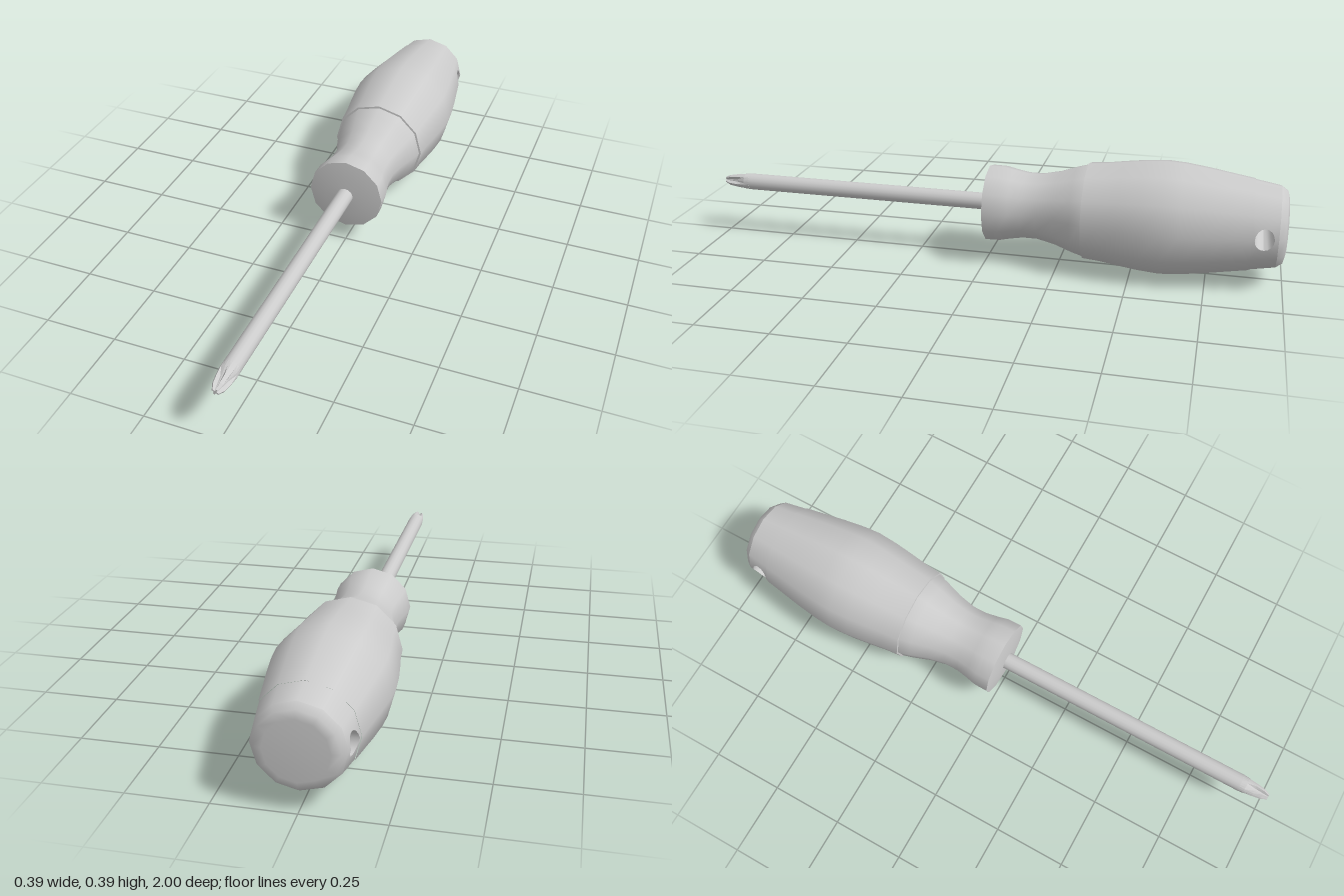
import * as THREE from 'three';

// Everything is turned around local Y (butt at -1, tip at +1), then laid along z.
const SIDES = 12;
const AXIS_HEIGHT = 0.197;

const material = new THREE.MeshStandardMaterial({ color: 0xcccccc });
const doubleSided = new THREE.MeshStandardMaterial({ color: 0xcccccc, side: THREE.DoubleSide });
const inward = new THREE.MeshStandardMaterial({ color: 0xcccccc, side: THREE.BackSide });

const toPoints = (list) => list.map(([r, y]) => new THREE.Vector2(r, y));

function add(parent, name, geometry, mat = material) {
  const mesh = new THREE.Mesh(geometry, mat);
  mesh.name = name;
  parent.add(mesh);
  return mesh;
}

const turned = (list, sides = SIDES, start = 0, sweep = Math.PI * 2) =>
  new THREE.LatheGeometry(toPoints(list), sides, start, sweep);

// End cap band with a hanging hole running across it along x
const BAND = { y0: -0.972, y1: -0.885, r0: 0.137, r1: 0.152 };
const HOLE = { y: -0.928, halfHeight: 0.037, halfLength: 0.031 };
const bandSlope = (BAND.r1 - BAND.r0) / (BAND.y1 - BAND.y0);
const bandRadius = (y) => BAND.r0 + (y - BAND.y0) * bandSlope;
// x of the faceted band surface beside the corner that points along x
const bandX = (u, y) => bandRadius(y) - Math.abs(u) * Math.tan(Math.PI / SIDES);

// One facet of the band with half of the hole cut from its edge
function holeFacet(sx, sz) {
  const shape = new THREE.Shape();
  shape.moveTo(0, BAND.y0);
  shape.lineTo(BAND.r0 / 2, BAND.y0);
  shape.lineTo(BAND.r1 / 2, BAND.y1);
  shape.lineTo(0, BAND.y1);
  shape.lineTo(0, HOLE.y + HOLE.halfLength);
  shape.absellipse(0, HOLE.y, HOLE.halfHeight, HOLE.halfLength, Math.PI / 2, -Math.PI / 2, true);
  const geometry = new THREE.ShapeGeometry(shape, 4);
  const pos = geometry.attributes.position;
  const normal = geometry.attributes.normal;
  const n = new THREE.Vector3();
  for (let i = 0; i < pos.count; i++) {
    const u = pos.getX(i);
    const y = pos.getY(i);
    const x = bandX(u, y);
    pos.setXYZ(i, sx * x, y, sz * u);
    n.set(sx * x, -bandSlope * Math.hypot(x, u), sz * u).normalize();
    normal.setXYZ(i, n.x, n.y, n.z);
  }
  if (sx * sz > 0) geometry.setIndex(Array.from(geometry.index.array).reverse());
  return geometry;
}

// Inner wall of the hole, its ends trimmed to the faceted surface
function holeWall() {
  const geometry = new THREE.CylinderGeometry(1, 1, 2, 16, 1, true);
  geometry.rotateZ(Math.PI / 2);
  geometry.scale(1, HOLE.halfLength, HOLE.halfHeight);
  geometry.translate(0, HOLE.y, 0);
  const pos = geometry.attributes.position;
  for (let i = 0; i < pos.count; i++) {
    pos.setX(i, Math.sign(pos.getX(i)) * bandX(pos.getZ(i), pos.getY(i)));
  }
  geometry.computeVertexNormals();
  return geometry;
}

function buildEndCap() {
  const cap = new THREE.Group();
  cap.name = 'endCap';
  add(cap, 'capEnd', turned([[0, -1], [0.096, -1], [0.122, -0.993], [BAND.r0, BAND.y0]]));
  const band = [[BAND.r0, BAND.y0], [BAND.r1, BAND.y1]];
  for (const start of [-Math.PI / 3, Math.PI * 2 / 3]) {
    add(cap, 'capBand', turned(band, 4, start, Math.PI * 2 / 3));
  }
  for (const sx of [1, -1]) {
    for (const sz of [1, -1]) add(cap, 'capHoleFacet', holeFacet(sx, sz), doubleSided);
  }
  add(cap, 'hangingHole', holeWall(), inward);
  return cap;
}

// Cross-head tip: a turned taper whose four quarters are pressed in
function crossTip() {
  const profile = [[0.029, 0.9], [0.029, 0.92], [0.026, 0.95], [0.021, 0.98], [0.011, 1], [0, 1]];
  const flute = [1, 0.95, 0.62, 0.42, 0.4, 1];
  const geometry = turned(profile, 24);
  const pos = geometry.attributes.position;
  for (let i = 0; i < pos.count; i++) {
    const step = Math.floor(i / profile.length) % 6;
    const press = flute[i % profile.length];
    const isArm = step === 0 || step === 1 || step === 5;
    const k = isArm ? 1 : press;
    pos.setXYZ(i, pos.getX(i) * k, pos.getY(i), pos.getZ(i) * k);
  }
  const flat = geometry.toNonIndexed();
  flat.computeVertexNormals();
  return flat;
}

export function createModel() {
  const model = new THREE.Group();
  model.name = 'screwdriver';

  const tool = new THREE.Group();
  tool.name = 'tool';
  tool.rotation.x = Math.PI / 2;
  tool.position.y = AXIS_HEIGHT;
  model.add(tool);

  // Handle: end cap, bulging grip with a small front lip, waisted collar
  tool.add(buildEndCap());
  add(tool, 'grip', turned([
    [0.154, -0.888], [0.167, -0.81], [0.179, -0.74], [0.19, -0.66], [0.194, -0.6],
    [0.189, -0.53], [0.18, -0.46], [0.171, -0.4], [0.166, -0.34],
  ]));
  add(tool, 'gripLip', turned([[0.166, -0.34], [0.15, -0.338]]));
  add(tool, 'collar', turned([
    [0.16, -0.36], [0.159, -0.335], [0.149, -0.3], [0.128, -0.24], [0.115, -0.18],
    [0.115, -0.13], [0.123, -0.085], [0.131, -0.05], [0.132, 0],
  ]));
  add(tool, 'collarFace', turned([[0.132, 0], [0.075, 0.008], [0, 0.01]]));

  // Blade
  add(tool, 'shaft', turned([[0.029, 0], [0.029, 0.9]], 16));
  add(tool, 'crossTip', crossTip()).rotation.y = Math.PI / 3;

  return model;
}
